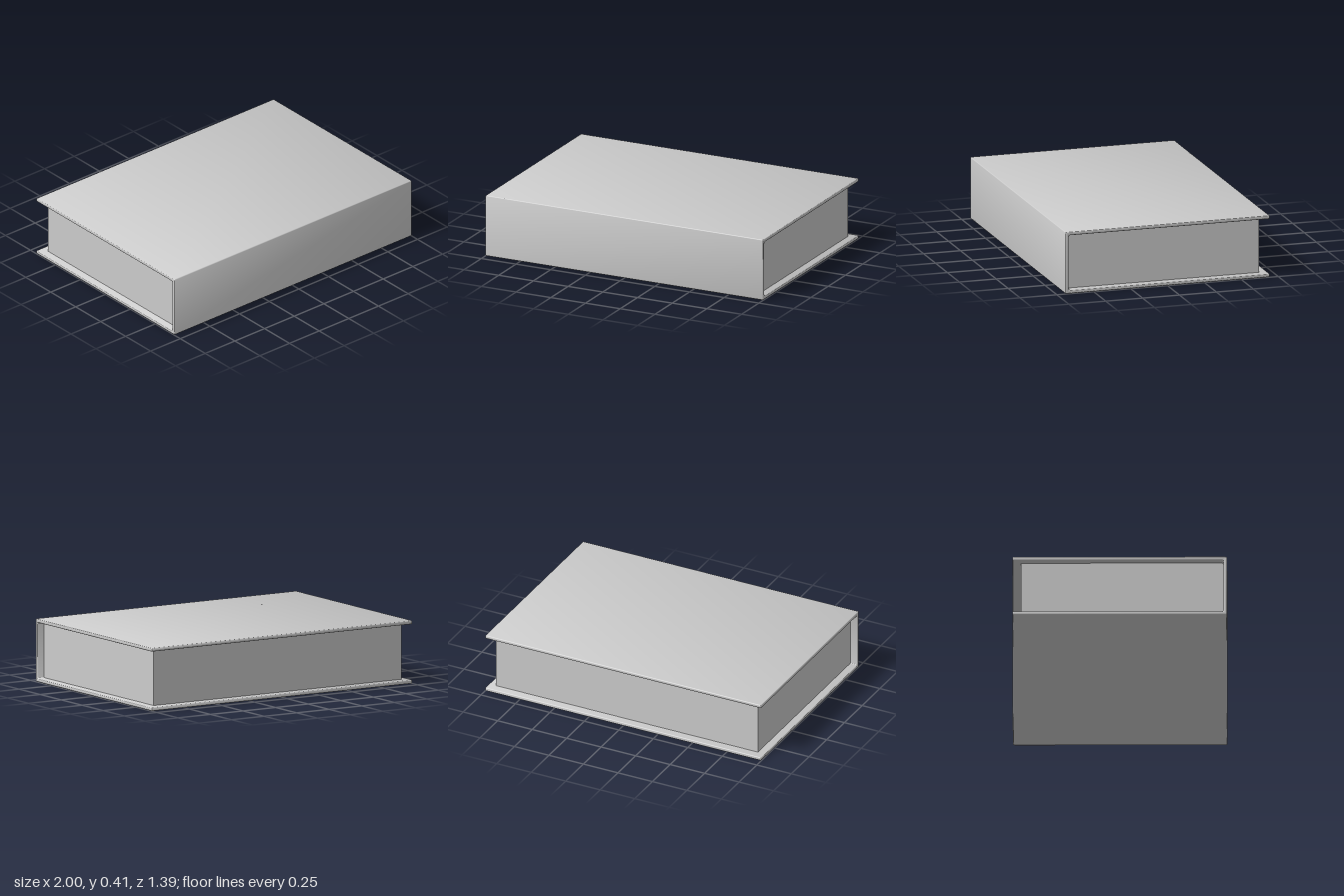
import * as THREE from 'three';
import { toCreasedNormals } from 'three/addons/utils/BufferGeometryUtils.js';

const WIDTH = 2, HEIGHT = 0.413, HALF_DEPTH = 0.693, BOARD = 0.025;
const PAGE_INSET = 0.05, PAGE_BACK = -0.636, BEVEL = 0.007;

// Closed outline whose corners [x, y, radius] are rounded
function roundedOutline(corners) {
  const points = corners.map(([x, y]) => new THREE.Vector2(x, y));
  const shape = new THREE.Shape();
  points.forEach((p, i) => {
    const r = corners[i][2];
    const toward = (q) => p.clone().add(q.clone().sub(p).setLength(r));
    const a = toward(points.at(i - 1));
    const b = toward(points[(i + 1) % points.length]);
    if (i === 0) shape.moveTo(a.x, a.y);
    else shape.lineTo(a.x, a.y);
    shape.quadraticCurveTo(p.x, p.y, b.x, b.y);
  });
  shape.closePath();
  return shape;
}

export function createModel() {
  const book = new THREE.Group();
  book.name = 'book';
  const material = new THREE.MeshStandardMaterial({ color: 0xcccccc });

  // Cover: a C-shaped section (two boards and the spine) run along x
  const f = HALF_DEPTH, s = f - BOARD, top = HEIGHT - BOARD;
  const section = roundedOutline([
    [-f, 0, 0.011], [f, 0, 0.011], [f, HEIGHT, 0.011], [-f, HEIGHT, 0.011],
    [-f, top, 0.011], [s, top, 0.01], [s, BOARD, 0.01], [-f, BOARD, 0.011],
  ]);
  const depth = WIDTH - 2 * BEVEL;
  const coverGeometry = new THREE.ExtrudeGeometry(section, {
    depth, curveSegments: 4, bevelEnabled: true, bevelSegments: 3,
    bevelSize: BEVEL, bevelThickness: BEVEL, bevelOffset: -BEVEL,
  });
  coverGeometry.translate(0, 0, -depth / 2);
  coverGeometry.rotateY(-Math.PI / 2);
  const cover = new THREE.Mesh(toCreasedNormals(coverGeometry, 0.8), material);
  cover.name = 'cover';
  book.add(cover);

  // Page block, set in from the open edges and seated just into the cover
  const seat = 0.004;
  const pageDepth = s + seat - PAGE_BACK;
  const pages = new THREE.Mesh(
    new THREE.BoxGeometry(WIDTH - 2 * PAGE_INSET, top - BOARD + 2 * seat, pageDepth),
    material,
  );
  pages.position.set(0, HEIGHT / 2, PAGE_BACK + pageDepth / 2);
  pages.name = 'pageBlock';
  book.add(pages);

  return book;
}
